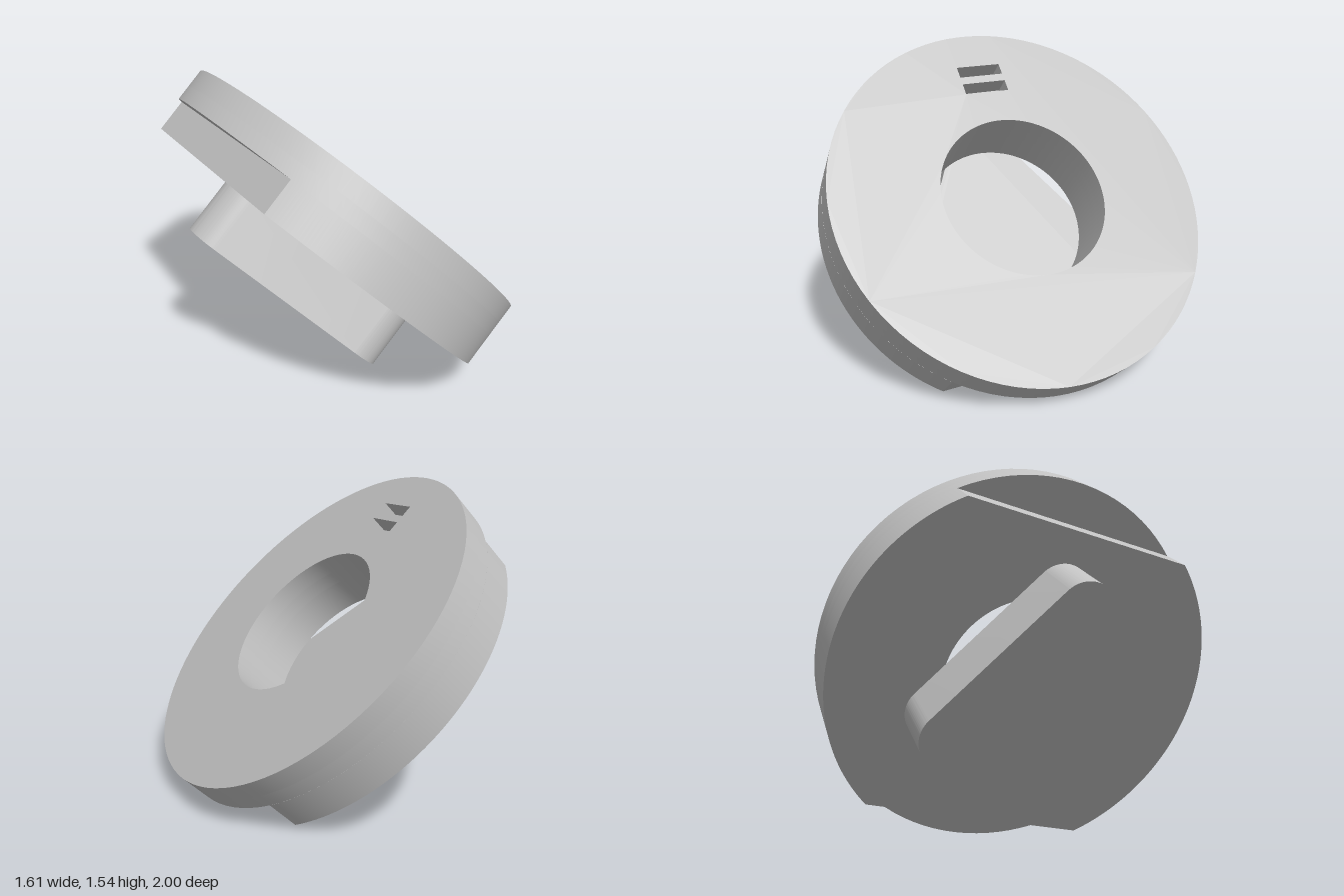
import * as THREE from 'three';
import { toCreasedNormals } from 'three/addons/utils/BufferGeometryUtils.js';

const DISC = 1, BORE = 0.446, FLAT = 0.795;
// Heights along the disc axis, measured from the disc's underside
const BASE = -0.29, STEP = 0.177, SLOT_FLOOR = 0.254, TOP = 0.354;

const material = new THREE.MeshStandardMaterial({ color: 0xc0c0c0 });
material.name = 'light grey';

// Extrudes an outline along the axis between two heights
function slab(name, shape, from, to) {
  const geometry = new THREE.ExtrudeGeometry(shape, {
    depth: to - from, bevelEnabled: false, curveSegments: 48,
  });
  geometry.rotateX(-Math.PI / 2).translate(0, from, 0);
  const mesh = new THREE.Mesh(toCreasedNormals(geometry, 0.5), material);
  mesh.name = name;
  return mesh;
}

// Adds the central bore to an outline
function bored(shape) {
  shape.holes.push(new THREE.Path().absarc(0, 0, BORE, 0, Math.PI * 2, true));
  return shape;
}

const roundDisc = () => bored(new THREE.Shape().absarc(0, 0, DISC, 0, Math.PI * 2, false));

// Disc cut by two parallel flats
function flattedDisc() {
  const a = Math.acos(FLAT / DISC);
  const shape = new THREE.Shape();
  shape.absarc(0, 0, DISC, a, Math.PI - a, false);
  shape.absarc(0, 0, DISC, Math.PI + a, Math.PI * 2 - a, false);
  shape.closePath();
  return bored(shape);
}

// Disc with two narrow marker slots
function slottedDisc() {
  const shape = roundDisc();
  for (const x of [-0.8, -0.692]) {
    shape.holes.push(new THREE.Path([
      [x, -0.125], [x, 0.125], [x + 0.064, 0.125], [x + 0.064, -0.125],
    ].map(([px, py]) => new THREE.Vector2(px, py))));
  }
  return shape;
}

// Equilateral triangle with rounded corners
function roundedTriangle() {
  const reach = 0.486, radius = 0.148;
  const shape = new THREE.Shape();
  for (let k = 0; k < 3; k++) {
    const c = Math.PI + k * Math.PI * 2 / 3;
    shape.absarc(reach * Math.cos(c), reach * Math.sin(c), radius,
      c - Math.PI / 3, c + Math.PI / 3, false);
  }
  shape.closePath();
  return shape;
}

export function createModel() {
  const tilted = new THREE.Group();
  tilted.name = 'tiltedDisc';
  tilted.add(
    slab('triangularBoss', roundedTriangle(), BASE, 0),
    slab('flattedLowerDisc', flattedDisc(), 0, STEP),
    slab('upperDisc', roundDisc(), STEP, SLOT_FLOOR),
    slab('slottedTopDisc', slottedDisc(), SLOT_FLOOR, TOP),
  );
  // Lean the axis 45 degrees towards +x
  tilted.rotation.z = -Math.PI / 4;
  tilted.position.set(-0.153, 0.585, 0);

  const model = new THREE.Group();
  model.name = 'model';
  model.add(tilted);
  return model;
}
